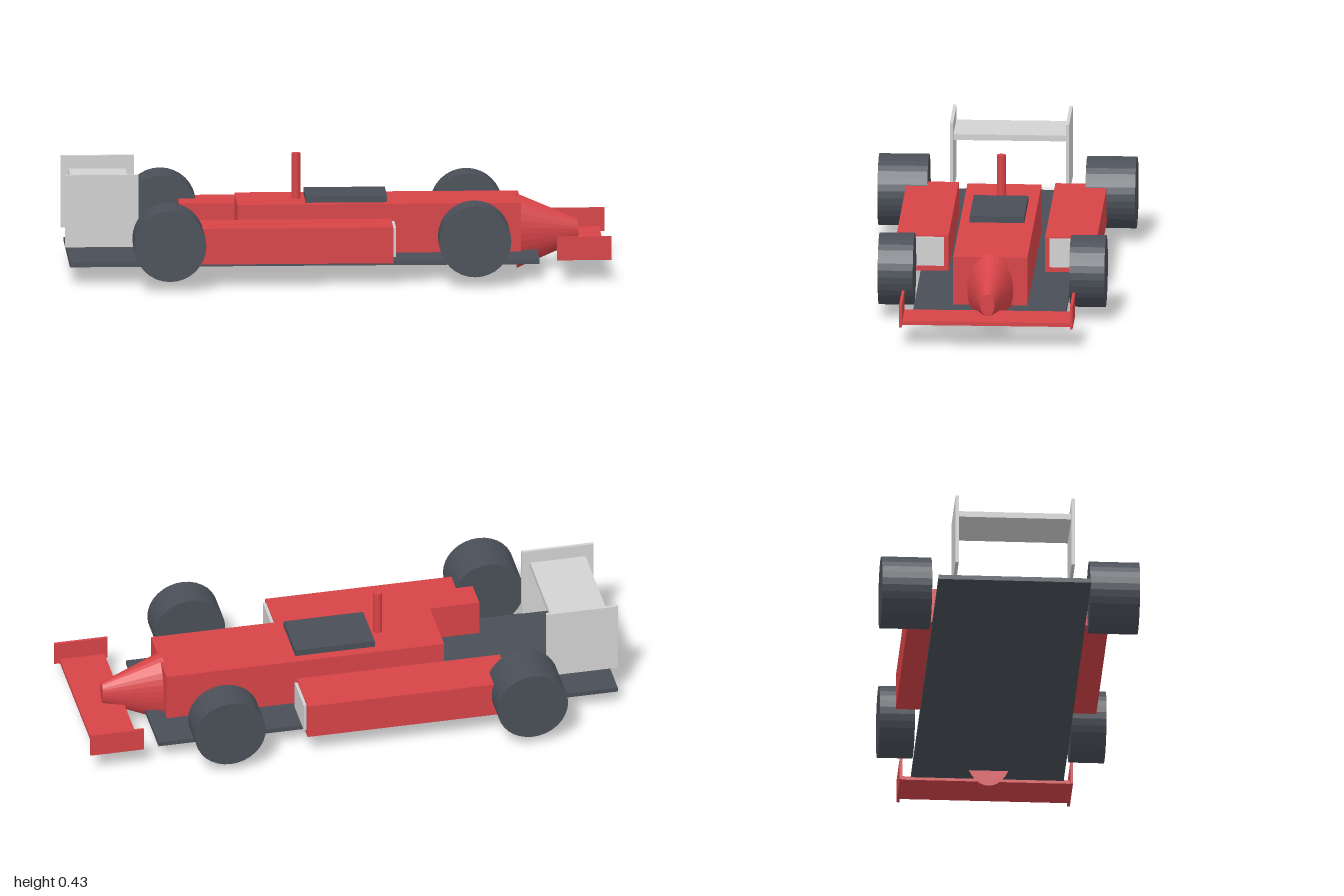
import * as THREE from 'three';

const red = new THREE.MeshStandardMaterial({ color: 0xd64347 });
red.name = 'body red';
const dark = new THREE.MeshStandardMaterial({ color: 0x4a4f58 });
dark.name = 'dark grey';
const light = new THREE.MeshStandardMaterial({ color: 0xd2d2d2 });
light.name = 'light grey';

// Give a geometry one normal per face
function faceted(geometry) {
  const flat = geometry.toNonIndexed();
  flat.computeVertexNormals();
  return flat;
}

export function createModel() {
  const car = new THREE.Group();
  car.name = 'raceCar';

  function add(name, geometry, material) {
    const mesh = new THREE.Mesh(geometry, material);
    mesh.name = name;
    car.add(mesh);
    return mesh;
  }

  // Box given by its extents along each axis
  function box(name, material, [x0, x1], [y0, y1], [z0, z1]) {
    const mesh = add(name, new THREE.BoxGeometry(x1 - x0, y1 - y0, z1 - z0), material);
    mesh.position.set((x0 + x1) / 2, (y0 + y1) / 2, (z0 + z1) / 2);
  }

  // The same box on both sides of the centre line
  function boxPair(name, material, x, y, [z0, z1]) {
    box(name + 'Near', material, x, y, [z0, z1]);
    box(name + 'Far', material, x, y, [-z1, -z0]);
  }

  // Floor, central body and cockpit cover
  box('floor', dark, [-0.985, 0.737], [0.063, 0.08], [-0.28, 0.28]);
  box('body', red, [-0.365, 0.675], [0.085, 0.266], [-0.136, 0.136]);
  box('cockpit', dark, [-0.113, 0.185], [0.262, 0.29], [-0.1, 0.1]);

  // Side pods with air inlets
  boxPair('sidePod', red, [-0.565, 0.197], [0.085, 0.218], [0.177, 0.368]);
  boxPair('airInlet', light, [0.19, 0.208], [0.106, 0.213], [0.194, 0.352]);

  // Nose: a tall oval cone with a blunt tip pointing along +x
  const noseShape = new THREE.CylinderGeometry(0.026, 0.0875, 0.225, 32);
  noseShape.rotateZ(-Math.PI / 2);
  noseShape.scale(1, 1.58, 1);
  add('nose', faceted(noseShape), red).position.set(0.777, 0.1405, 0);

  // Front wing
  box('frontWing', red, [0.812, 0.98], [0.087, 0.101], [-0.309, 0.309]);
  boxPair('frontEndPlate', red, [0.8, 1], [0.083, 0.17], [0.308, 0.318]);

  // Rear wing
  box('rearWing', light, [-0.97, -0.762], [0.324, 0.346], [-0.208, 0.208]);
  boxPair('rearEndPlate', light, [-1, -0.731], [0.127, 0.395], [0.207, 0.219]);

  // Camera mast
  add('mast', faceted(new THREE.CylinderGeometry(0.016, 0.016, 0.175, 24)), red)
    .position.set(-0.145, 0.348, 0);

  // Wheels, wider at the rear
  const axles = [
    { name: 'rearWheel', x: -0.625, inner: 0.29, outer: 0.473 },
    { name: 'frontWheel', x: 0.496, inner: 0.287, outer: 0.416 },
  ];
  for (const { name, x, inner, outer } of axles) {
    const wheel = new THREE.CylinderGeometry(0.132, 0.132, outer - inner, 32);
    wheel.rotateX(Math.PI / 2);
    const geometry = faceted(wheel);
    for (const side of [1, -1]) {
      add(name + (side > 0 ? 'Near' : 'Far'), geometry, dark)
        .position.set(x, 0.171, side * (inner + outer) / 2);
    }
  }
  return car;
}
